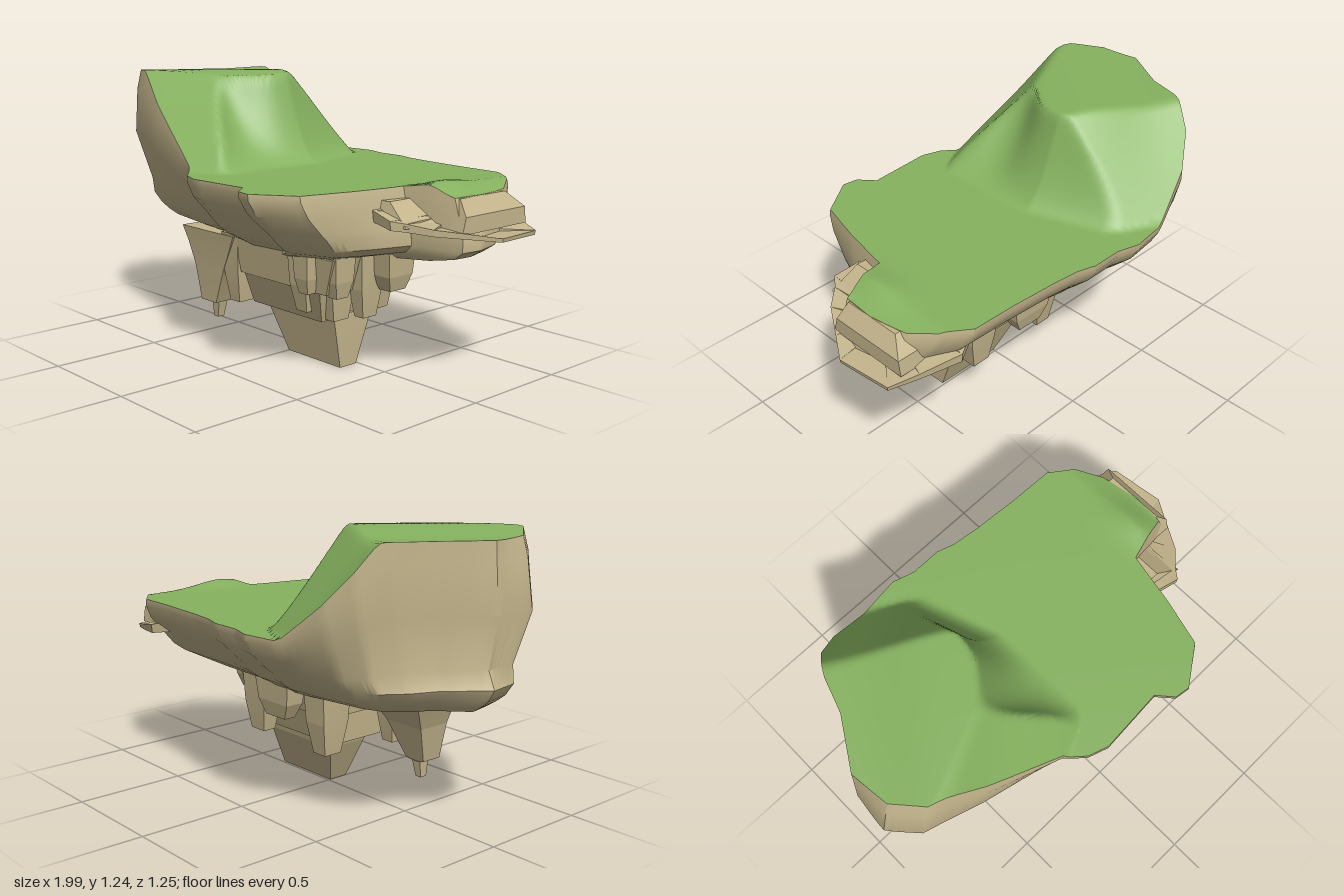
import * as THREE from 'three';
import { mergeVertices, toCreasedNormals } from 'three/addons/utils/BufferGeometryUtils.js';

const GRASS = new THREE.MeshStandardMaterial({ color: 0x86b25f, side: THREE.DoubleSide });
const ROCK = new THREE.MeshStandardMaterial({ color: 0xc4b58c, side: THREE.DoubleSide });
const { clamp, lerp, smoothstep } = THREE.MathUtils;

// Coastline as x, z pairs, clockwise from above
const COAST = [
  [-0.95, 0.01], [-0.82, -0.2], [-0.77, -0.35], [-0.7, -0.48], [-0.6, -0.55], [-0.38, -0.61],
  [-0.22, -0.63], [-0.12, -0.6], [0.02, -0.6], [0.1, -0.575], [0.22, -0.56], [0.45, -0.545],
  [0.65, -0.54], [0.76, -0.46], [0.83, -0.35], [0.86, -0.17], [0.85, -0.02], [0.63, 0.04],
  [0.58, 0.28], [0.52, 0.5], [0.35, 0.62], [0.28, 0.61], [0.22, 0.54], [-0.08, 0.56],
  [-0.17, 0.53], [-0.25, 0.46], [-0.6, 0.38], [-0.83, 0.31], [-0.93, 0.19],
];

// Split each coast edge into short steps
function outline(steps) {
  return COAST.flatMap(([x, z], i) => {
    const [x2, z2] = COAST[(i + 1) % COAST.length];
    return Array.from({ length: steps }, (_, k) => [lerp(x, x2, k / steps), lerp(z, z2, k / steps)]);
  });
}

// Minimum of two slopes with a rounded ridge of width k
function softMin(a, b, k) {
  const h = clamp(0.5 + (b - a) / (2 * k), 0, 1);
  return lerp(b, a, h) - k * h * (1 - h);
}

// How far up the hill a point lies: 0 on the meadow, 1 on the plateau
function hill(x, z) {
  const front = (0.327 - (0.437 * x + 0.9 * z)) / 0.362;
  const back = (0.346 - (0.47 * x - 0.88 * z)) / 0.345;
  const gully = 0.13 * Math.exp(-(((z - 0.18) / 0.14) ** 2));
  const retreat = 0.35 * Math.max(0, -0.12 - z);
  const cliff = clamp((-0.05 - retreat - x) / (0.22 + gully), 0, 1.3) ** 1.8;
  return clamp(softMin(softMin(Math.min(front, back), cliff, 0.1), 1, 0.06), 0, 1);
}

function height(x, z) {
  const t = hill(x, z);
  const knoll = 0.025 * Math.exp(-(((x - 0.74) / 0.08) ** 2) - ((z + 0.08) / 0.15) ** 2);
  const shore = -0.03 * clamp((x - 0.74) / 0.1, 0, 1);
  return 0.835 + 0.4 * t + t * 0.01 * Math.sin(9 * x + 7 * z) + knoll + shore;
}

// Skin a stack of equal loops, from the top down
function loft(loops) {
  const n = loops[0].length;
  const index = [];
  for (let r = 0; r < loops.length - 1; r++) {
    for (let i = 0; i < n; i++) {
      const a = r * n + i, b = r * n + ((i + 1) % n);
      index.push(a, b, b + n, a, b + n, a + n);
    }
  }
  const g = new THREE.BufferGeometry();
  g.setAttribute('position', new THREE.Float32BufferAttribute(loops.flat(2), 3));
  g.setIndex(index);
  return mergeVertices(g, 1e-4);
}

function add(group, name, geometry, material, crease) {
  const mesh = new THREE.Mesh(toCreasedNormals(geometry, crease), material);
  mesh.name = name;
  group.add(mesh);
}

// Tapered rock from rectangles [y, x0, x1, z0, z1], closed at both ends
function rock(group, name, levels) {
  const rect = ([y, x0, x1, z0, z1]) => [[x0, y, z1], [x0, y, z0], [x1, y, z0], [x1, y, z1]];
  const point = ([y, x0, x1, z0, z1]) => Array(4).fill([(x0 + x1) / 2, y, (z0 + z1) / 2]);
  add(group, name, loft([point(levels[0]), ...levels.map(rect), point(levels.at(-1))]), ROCK, 0.1);
}

export function createModel() {
  const island = new THREE.Group();
  island.name = 'floatingIsland';

  // Grass top: rings spreading from the middle to the coast
  const coast = outline(6);
  const rings = Array.from({ length: 61 }, (_, r) => coast.map(([x, z]) => {
    const px = x * r / 60, pz = lerp(-0.05, z, r / 60);
    return [px, height(px, pz), pz];
  }));
  add(island, 'grassTop', loft(rings), GRASS, 1.5);

  // Rock body: [drop from rim to y 0.65, left x scale, right x scale, z scale, fixed y]
  const shell = [
    [0, 1, 1, 1], [0.15, 1, 1.01, 1], [0.5, 1.01, 1.03, 0.94],
    [0.88, 0.98, 1.05, 0.82], [0, 1.02, 1.06, 0.77, 0.645], [0, 0.99, 1.06, 0.69, 0.595],
    [0, 0.95, 1.01, 0.62, 0.563], [0, 0.91, 0.86, 0.54, 0.537], [0, 0.6, 0.62, 0.48, 0.515],
    [0, 0, 0, 0, 0.5],
  ];
  const body = shell.map(([drop, left, right, sz, fixed]) => coast.map(([x, z]) => {
    const belly = 1 + 0.06 * Math.sin(Math.PI * drop) * hill(x, z) * smoothstep(z, -0.1, 0.25);
    const y = fixed ?? lerp(height(x, z), 0.65, drop);
    return [x * (x < 0 ? left : right) * belly, y, z * sz * belly];
  }));
  add(island, 'rockBody', loft(body), ROCK, 0.6);

  // Thin ledge jutting out on the left side, sloping down outward
  const ledge = [[0.5, 0.16], [0.5, -0.4], [0.68, -0.5], [0.85, -0.44], [0.97, -0.39], [1, -0.14],
    [0.93, -0.03], [0.85, 0.1], [0.77, 0.17], [0.73, 0.22], [0.62, 0.2]];
  const sheet = (drop, s) => ledge.map(([x, z]) =>
    [0.75 + (x - 0.75) * s, 0.715 - 0.22 * (x - 0.75) - drop * (1.2 - x) + 0.05 * z, -0.1 + (z + 0.1) * s]);
  add(island, 'sideLedge', loft([sheet(0, 0), sheet(0, 1), sheet(0.08, 0.99), sheet(0.08, 0)]), ROCK, 0.1);

  // Sloping boulders on top of the ledge
  rock(island, 'shoreBoulder', [[0.805, 0.6, 0.86, -0.32, -0.04], [0.74, 0.6, 0.91, -0.39, -0.02], [0.67, 0.6, 0.91, -0.4, 0]]);
  rock(island, 'shoreStone', [[0.79, 0.57, 0.66, 0.02, 0.15], [0.7, 0.57, 0.78, 0, 0.18]]);

  // Stepped pedestal
  rock(island, 'upperStep', [[0.53, -0.18, 0.46, -0.18, 0.27], [0.37, -0.16, 0.4, -0.14, 0.25]]);
  rock(island, 'middleStep', [[0.38, -0.14, 0.36, -0.12, 0.25], [0.23, -0.13, 0.32, -0.08, 0.2]]);
  rock(island, 'pedestalFoot', [[0.25, -0.1, 0.34, -0.07, 0.15], [0.2, -0.085, 0.34, -0.06, 0.14], [0.01, 0, 0.335, 0.01, 0.105]]);

  // Long hanging spike on the right side
  rock(island, 'hangingSpike', [[0.53, -0.56, -0.18, 0, 0.28], [0.46, -0.53, -0.22, 0.04, 0.27],
    [0.35, -0.49, -0.28, 0.1, 0.26], [0.185, -0.46, -0.35, 0.15, 0.25],
    [0.175, -0.43, -0.38, 0.16, 0.21], [0.1, -0.425, -0.395, 0.17, 0.205]]);

  // Smaller shards around the pedestal: [x, z, width, depth, bottom y]
  const shards = [
    [-0.22, 0.2, 0.1, 0.12, 0.22], [-0.14, -0.13, 0.12, 0.14, 0.21],
    [0.24, 0.2, 0.1, 0.13, 0.27], [0.35, 0.14, 0.08, 0.13, 0.24], [0.42, 0.04, 0.08, 0.12, 0.25],
    [0.5, -0.04, 0.1, 0.14, 0.37], [0.31, 0.27, 0.08, 0.08, 0.37], [0.42, 0.2, 0.08, 0.1, 0.36],
    [0.28, -0.16, 0.14, 0.1, 0.23], [0.05, -0.24, 0.2, 0.09, 0.36],
  ];
  shards.forEach(([x, z, w, d, y]) => {
    const level = (ly, s) => [ly, x - w * s / 2, x + w * s / 2, z - d * s / 2, z + d * s / 2];
    rock(island, 'hangingShard', [level(0.54, 1.15), level(lerp(y, 0.5, 0.5), 1), level(y, 0.65)]);
  });

  return island;
}
